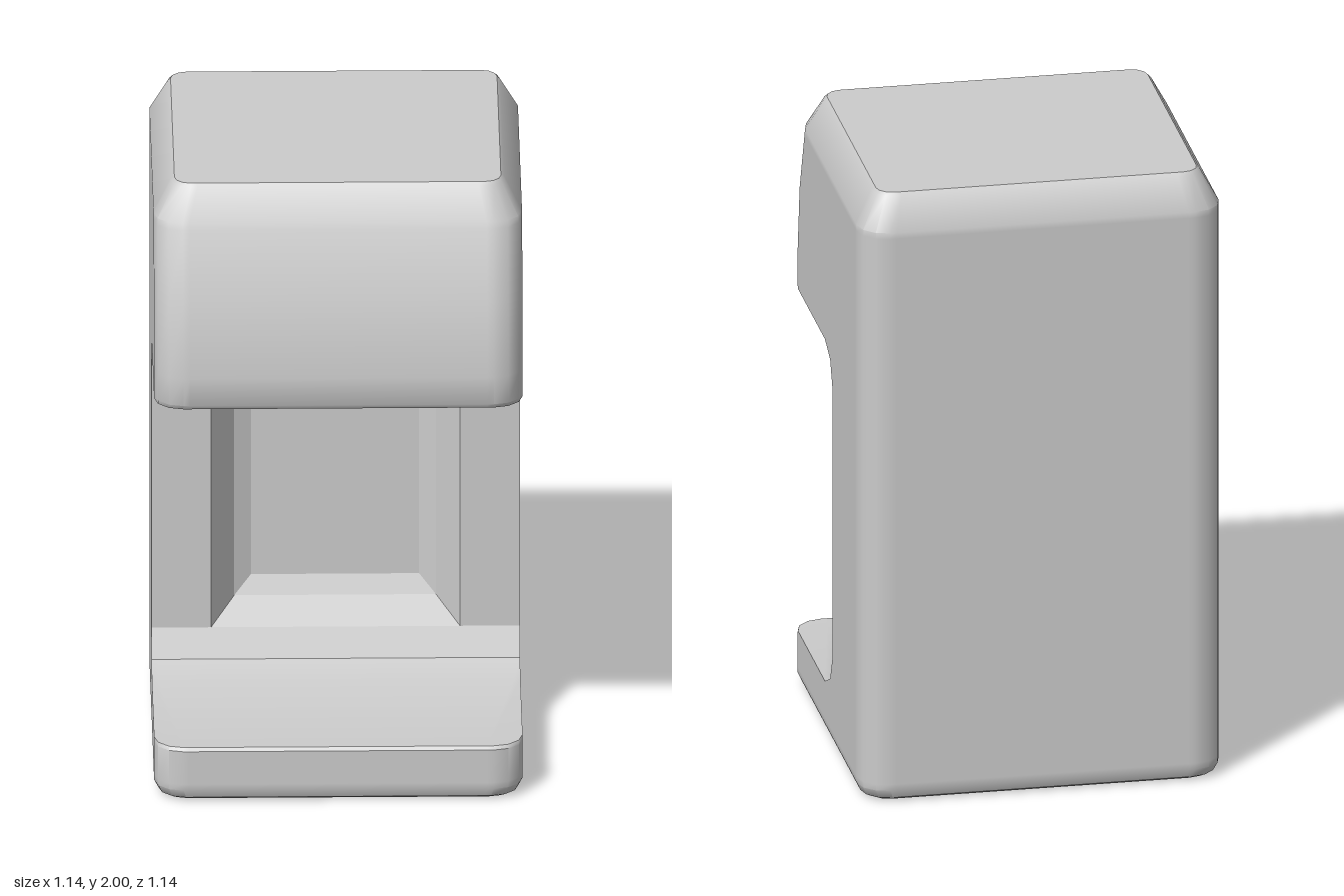
import * as THREE from 'three';
import { toCreasedNormals } from 'three/addons/utils/BufferGeometryUtils.js';

const material = new THREE.MeshStandardMaterial({ color: 0xcccccc });

// Collects triangles, dropping the collapsed ones
function surface() {
  const points = [];
  const tri = (a, b, c) => {
    const area = b.clone().sub(a).cross(c.clone().sub(a)).length();
    if (area > 1e-7) points.push(a, b, c);
  };
  return {
    tri,
    quad(a, b, c, d) { tri(a, b, c); tri(a, c, d); },
    mesh(name, crease) {
      let geometry = new THREE.BufferGeometry().setFromPoints(points);
      geometry = toCreasedNormals(geometry, crease);
      const mesh = new THREE.Mesh(geometry, material);
      mesh.name = name;
      return mesh;
    },
  };
}

// Horizontal cross-section: rounded rectangle with separate front and back radii
function section({ y, w, front, back, rf, rb }) {
  const ring = [];
  const corners = [[1, front, rf], [1, back, rb], [-1, back, rb], [-1, front, rf]];
  corners.forEach(([sx, z, r], k) => {
    const cx = sx * (w - r), cz = z + (z === front ? -r : r);
    const t0 = k * Math.PI / 2, support = 0.02;
    const at = (t, shift) => new THREE.Vector3(
      cx + r * Math.sin(t) + shift * Math.cos(t), y,
      cz + r * Math.cos(t) - shift * Math.sin(t));
    ring.push(at(t0, -support));
    for (let i = 0; i <= 3; i++) ring.push(at(t0 + i * Math.PI / 6, 0));
    ring.push(at(t0 + Math.PI / 2, support));
  });
  return ring;
}

const LOW = 0.31, HIGH = 1.19, COLUMN = -0.09;

// Housing: base, column and overhanging head in one lofted skin
function housing() {
  const level = (y, front, rf = 0.09, w = 0.57, rb = 0.09) =>
    ({ y, w, front, back: -w, rf, rb });
  const levels = [
    // base slab
    level(0, 0.535, 0.07, 0.535, 0.07),
    level(0.012, 0.557, 0.085, 0.557, 0.085),
    level(0.04, 0.57),
    level(0.06, 0.57),
    level(0.17, 0.57),
    level(0.18, 0.56),
    // column with coved ends
    level(0.18, 0.035, 0),
    level(0.22, -0.05, 0),
    level(LOW, COLUMN, 0),
    level(HIGH, COLUMN, 0),
    level(1.28, -0.05, 0),
    level(1.315, 0.035, 0),
    // head with bowed front
    level(1.315, 0.56),
    level(1.33, 0.57),
    level(1.42, 0.57),
    level(1.66, 0.535),
    level(1.87, 0.455),
    level(1.89, 0.447),
    level(1.99, 0.395, 0.06, 0.515, 0.06),
    level(2, 0.385, 0.05, 0.505, 0.05),
  ];
  const rings = levels.map(section);
  const skin = surface();
  const n = rings[0].length;
  for (let j = 0; j < rings.length - 1; j++) {
    for (let i = 0; i < n; i++) {
      // the column front is left open for the recessed panel, between its outer edges
      const frontFace = i >= n - 3 || i < 1;
      if (levels[j].y === LOW && frontFace) continue;
      const k = (i + 1) % n;
      skin.quad(rings[j][i], rings[j][k], rings[j + 1][k], rings[j + 1][i]);
    }
  }
  const bottom = rings[0], top = rings[rings.length - 1];
  for (let i = 1; i < n - 1; i++) {
    skin.tri(top[0], top[i], top[i + 1]);
    skin.tri(bottom[0], bottom[i + 1], bottom[i]);
  }
  return skin.mesh('housing', 0.62);
}

// Column front with a stepped, sunken panel
function recess() {
  const frame = (x, y0, y1, z) =>
    [[-x, y0], [x, y0], [x, y1], [-x, y1]].map(([px, py]) => new THREE.Vector3(px, py, z));
  const frames = [
    frame(0.57, LOW, HIGH, COLUMN),
    frame(0.385, LOW, HIGH, COLUMN),
    frame(0.312, 0.375, 1.125, -0.19),
    frame(0.26, 0.435, 1.065, -0.215),
  ];
  const skin = surface();
  for (let j = 0; j < frames.length - 1; j++) {
    for (let i = 0; i < 4; i++) {
      const k = (i + 1) % 4;
      skin.quad(frames[j][i], frames[j][k], frames[j + 1][k], frames[j + 1][i]);
    }
  }
  skin.quad(...frames[frames.length - 1]);
  return skin.mesh('recessedPanel', 0.3);
}

export function createModel() {
  const group = new THREE.Group();
  group.name = 'countertopDispenser';
  group.add(housing(), recess());
  return group;
}
